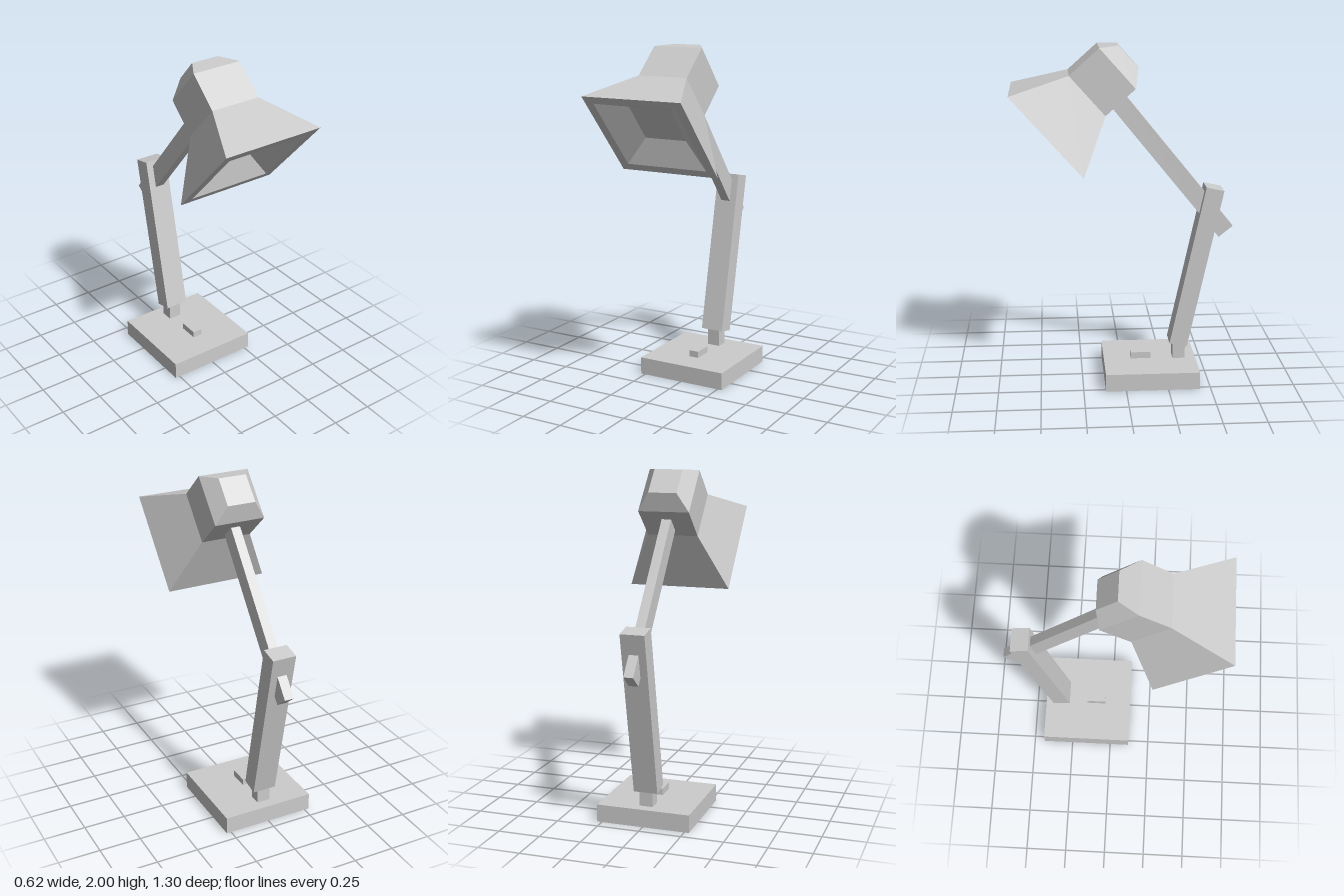
import * as THREE from 'three';

const material = new THREE.MeshStandardMaterial({ color: 0xcccccc, flatShading: true });

export function createModel() {
  const lamp = new THREE.Group();
  lamp.name = 'deskLamp';

  function add(name, geometry) {
    const mesh = new THREE.Mesh(geometry, material);
    mesh.name = name;
    lamp.add(mesh);
    return mesh;
  }

  // Upright box given by its width, vertical range and depth range
  function block(name, width, y0, y1, z0, z1) {
    const mesh = add(name, new THREE.BoxGeometry(width, y1 - y0, z1 - z0));
    mesh.position.set(0, (y0 + y1) / 2, (z0 + z1) / 2);
  }

  // Bar leaning in the YZ plane from its bottom centre to its top centre
  function bar(name, width, depth, [y0, z0], [y1, z1]) {
    const mesh = add(name, new THREE.BoxGeometry(width, Math.hypot(y1 - y0, z1 - z0), depth));
    mesh.position.set(0, (y0 + y1) / 2, (z0 + z1) / 2);
    mesh.rotation.x = Math.atan2(z1 - z0, y1 - y0);
  }

  // Base, switch and the short post under the arm
  block('base', 0.556, 0, 0.104, -0.435, 0.12);
  block('switch', 0.06, 0.1, 0.143, -0.163, -0.043);
  block('post', 0.08, 0.1, 0.23, -0.372, -0.298);

  // Two arms; the upper one pierces the lower one and ends inside the shade
  bar('lowerArm', 0.143, 0.107, [0.2, -0.327], [1.162, -0.535]);
  bar('upperArm', 0.057, 0.106, [0.895, -0.607], [1.764, 0.099]);

  // Square shade: [half width, distance from the opening], recess first, then outside
  const profile = [
    [0, 0.102], [0.13, 0.102], [0.255, 0], [0.308, 0],
    [0.153, 0.312], [0.153, 0.54], [0.085, 0.628], [0, 0.628],
  ].map(([h, y]) => new THREE.Vector2(h * Math.SQRT2, y));
  const shade = add('shade', new THREE.LatheGeometry(profile, 4).rotateY(Math.PI / 4));
  shade.position.set(0, 1.52, 0.445);
  shade.rotation.x = Math.atan2(-0.747, 0.666);

  return lamp;
}
